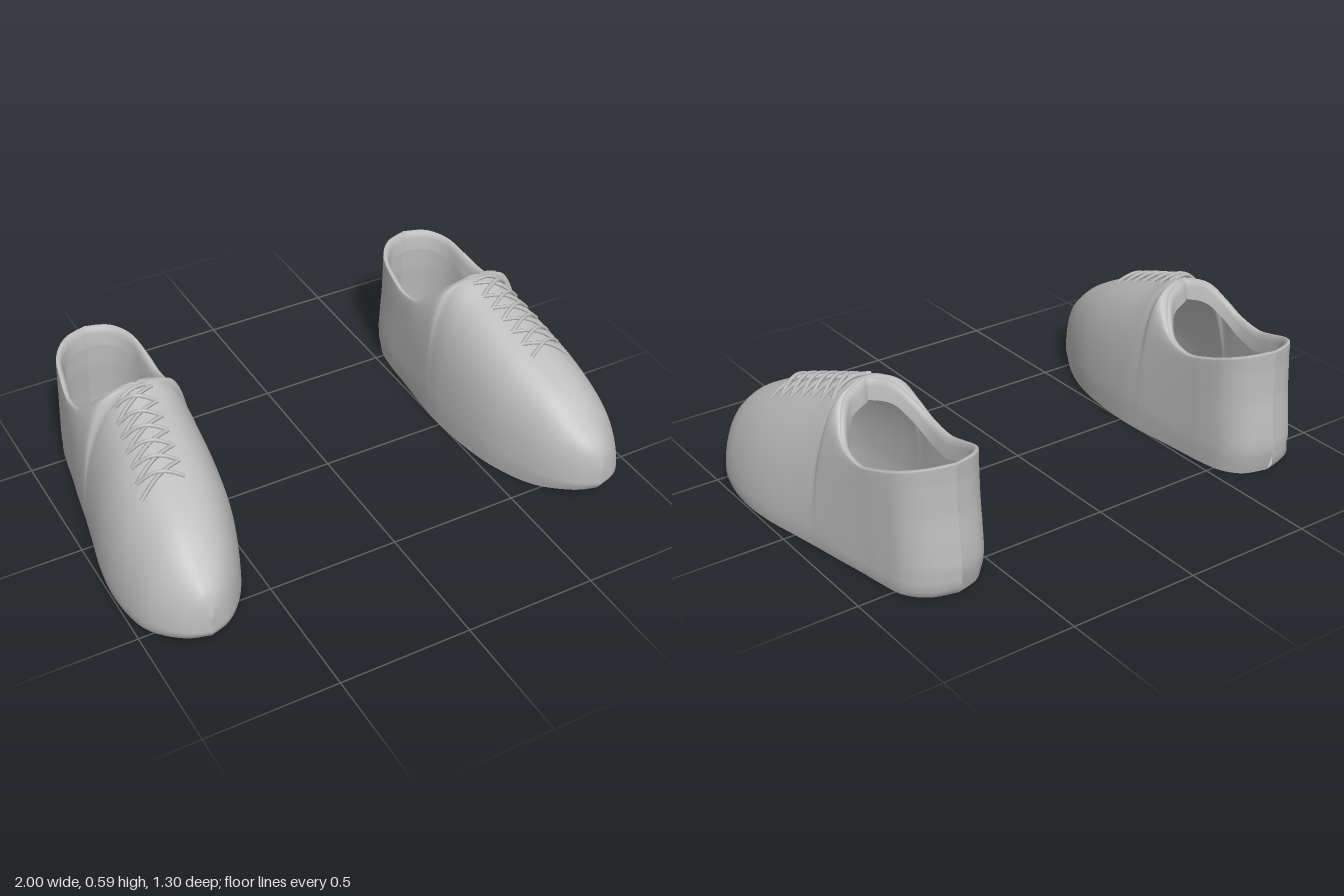
import * as THREE from 'three';
import { mergeVertices } from 'three/addons/utils/BufferGeometryUtils.js';

// Stations heel to toe: z, inner sole x, outer sole x, inner rim x, outer rim x, rim or ridge height
const STATIONS = [
  [-0.65, 0.69, 0.69, 0.69, 0.69, 0.49],
  [-0.62, 0.595, 0.785, 0.6, 0.78, 0.485],
  [-0.55, 0.54, 0.85, 0.543, 0.842, 0.465],
  [-0.45, 0.52, 0.875, 0.525, 0.868, 0.435],
  [-0.35, 0.512, 0.892, 0.522, 0.882, 0.415],
  [-0.25, 0.504, 0.912, 0.53, 0.878, 0.437],
  [-0.18, 0.498, 0.925, 0.56, 0.85, 0.492],
  [-0.12, 0.493, 0.936, 0.615, 0.795, 0.555],
  [-0.09, 0.491, 0.942, 0.705, 0.705, 0.584],
  [0, 0.49, 0.96, 0.72, 0.72, 0.548],
  [0.15, 0.502, 0.99, 0.738, 0.738, 0.495],
  [0.3, 0.53, 1, 0.755, 0.755, 0.435],
  [0.45, 0.587, 0.98, 0.775, 0.775, 0.36],
  [0.55, 0.645, 0.935, 0.783, 0.783, 0.28],
  [0.62, 0.713, 0.87, 0.79, 0.79, 0.215],
  [0.65, 0.79, 0.79, 0.79, 0.79, 0.13],
];
const RIM_END = 8; // station where the opening closes in front
const LAST = STATIONS.length - 1;
const SUB = 6; // subdivisions per station
const HEEL = [[0, 0.95], [0.03, 1], [0.06, 0.988], [0.1, 1], [0.2, 0.985], [0.3, 0.967], [0.42, 0.96], [0.6, 0.972]];

function lerpTable(table, y) {
  for (let i = 1; i < table.length; i++) {
    const [y0, v0] = table[i - 1], [y1, v1] = table[i];
    if (y <= y1) return THREE.MathUtils.lerp(v0, v1, Math.max(0, (y - y0) / (y1 - y0)));
  }
  return table[table.length - 1][1];
}

// Smoothly interpolated station
function station(u) {
  const i = Math.min(Math.floor(u), LAST - 1), t = u - i;
  const row = (k) => STATIONS[THREE.MathUtils.clamp(k, 0, LAST)];
  const v = STATIONS[0].map((_, c) => {
    const a = row(i - 1)[c], b = row(i)[c], d = row(i + 1)[c], e = row(i + 2)[c];
    const m0 = (d - a) / 2, m1 = (e - b) / 2, t2 = t * t, t3 = t2 * t;
    return (2 * t3 - 3 * t2 + 1) * b + (t3 - 2 * t2 + t) * m0 + (3 * t2 - 2 * t3) * d + (t3 - t2) * m1;
  });
  const mid = (v[3] + v[4]) / 2;
  if (u >= RIM_END || v[3] > v[4]) v[3] = v[4] = mid;
  const toe = THREE.MathUtils.smoothstep(v[0], 0.35, 0.66);
  return { z: v[0], base: [v[1], v[2]], rim: [v[3], v[4]], top: v[5], floor: 0.006 + 0.034 * toe * toe };
}

const POWER = [2.8, 2]; // fullness of the inner and outer walls

// Point on the upper: s = 0 at the sole edge, 1 at the rim or ridge
function wallPoint(st, side, s) {
  const a = s * Math.PI / 2, p = 2 / POWER[side];
  const y = st.floor + (st.top - st.floor) * Math.pow(Math.sin(a), p);
  let x = st.rim[side] + (st.base[side] - st.rim[side]) * Math.pow(Math.max(0, Math.cos(a)), p);
  const tuck = 0.025 * Math.max(0, 1 - (y - st.floor) / 0.025); // rounded sole edge
  x += (0.73 - x) * tuck;
  const z = st.z < 0 ? st.z * lerpTable(HEEL, y) : st.z * (1 - tuck);
  return new THREE.Vector3(x, y, z);
}

// Smooth surface through rows of points
function loft(rows, flip = false) {
  const n = rows[0].length, index = [];
  for (let i = 0; i < rows.length - 1; i++) {
    for (let j = 0; j < n - 1; j++) {
      const a = i * n + j, b = a + n;
      if (flip) index.push(a, a + 1, b, a + 1, b + 1, b);
      else index.push(a, b, a + 1, a + 1, b, b + 1);
    }
  }
  return { points: rows.flat(), index };
}

function toGeometry(...parts) {
  const points = [], index = [];
  for (const part of parts) {
    const offset = points.length;
    points.push(...part.points);
    index.push(...part.index.map((k) => k + offset));
  }
  let g = new THREE.BufferGeometry().setFromPoints(points);
  g.setIndex(index);
  g = mergeVertices(g, 1e-4);
  g.computeVertexNormals();
  return g;
}

// Height of the upper above a spot in front of the opening
function surfaceHeight(x, z) {
  let lo = RIM_END, hi = LAST;
  for (let k = 0; k < 24; k++) {
    const m = (lo + hi) / 2;
    if (station(m).z < z) lo = m; else hi = m;
  }
  const st = station(lo), side = x < st.rim[0] ? 0 : 1, n = POWER[side];
  const a = Math.min(1, Math.abs((x - st.rim[side]) / (st.base[side] - st.rim[side])));
  return st.floor + (st.top - st.floor) * Math.pow(1 - Math.pow(a, n), 1 / n);
}

function lace(x0, z0, x1, z1, lift) {
  const pts = [];
  for (let k = 0; k <= 8; k++) {
    const t = k / 8, x = x0 + (x1 - x0) * t, z = z0 + (z1 - z0) * t;
    pts.push(new THREE.Vector3(x, surfaceHeight(x, z) + 0.002 + lift * Math.sin(Math.PI * t), z));
  }
  return new THREE.TubeGeometry(new THREE.CatmullRomCurve3(pts), 16, 0.0075, 6);
}

function shoeParts() {
  const stations = [];
  for (let k = 0; k <= LAST * SUB; k++) stations.push(station(k / SUB));
  const STEPS = 24;
  const walls = [0, 1].map((side) => loft(stations.map((st) =>
    Array.from({ length: STEPS + 1 }, (_, j) => wallPoint(st, side, j / STEPS))), side === 1));

  // Sole spans between the two lower edges
  const sole = loft(stations.map((st) => {
    const a = wallPoint(st, 0, 0), b = wallPoint(st, 1, 0);
    return Array.from({ length: 9 }, (_, j) => a.clone().lerp(b, j / 8));
  }), true);

  // Collar folds over the rim and a short way down inside
  const open = stations.slice(0, RIM_END * SUB + 1);
  const rim = [...open.slice().reverse().map((st) => wallPoint(st, 0, 1)),
    ...open.slice(1).map((st) => wallPoint(st, 1, 1))];
  const centre = new THREE.Vector3(0.705, 0, -0.36);
  const fold = [[0, 0], [0.008, 0.004], [0.018, -0.004], [0.025, -0.025], [0.03, -0.075]];
  const lining = loft(rim.map((p) => {
    const inward = centre.clone().sub(p).setY(0).normalize();
    return fold.map(([d, h]) => p.clone().addScaledVector(inward, d).add(new THREE.Vector3(0, h, 0)));
  }));

  const parts = [['upper', toGeometry(...walls)], ['sole', toGeometry(sole)], ['collarLining', toGeometry(lining)]];

  // Criss-cross laces
  const edge = (k) => ({ z: -0.065 + 0.058 * k, lo: 0.66 + 0.007 * k, hi: 0.81 + 0.009 * k });
  parts.push(['topLace', lace(0.68, -0.075, 0.81, -0.06, 0.008)]);
  for (let k = 0; k < 6; k++) {
    const a = edge(k), b = edge(k + 1);
    parts.push(['lace', lace(a.lo, a.z, b.hi, b.z, 0.007)], ['lace', lace(a.hi, a.z, b.lo, b.z, 0.018)]);
  }
  return parts;
}

// Mirrored copy with corner order kept facing outward
function mirrored(geometry) {
  const g = geometry.clone(), ix = g.index.array;
  const pos = g.attributes.position, nor = g.attributes.normal;
  for (let i = 0; i < pos.count; i++) {
    pos.setX(i, -pos.getX(i));
    nor.setX(i, -nor.getX(i));
  }
  for (let i = 0; i < ix.length; i += 3) [ix[i + 1], ix[i + 2]] = [ix[i + 2], ix[i + 1]];
  return g;
}

export function createModel() {
  const grey = new THREE.MeshStandardMaterial({ color: 0xbcbcbc, side: THREE.DoubleSide });
  grey.name = 'light grey';
  const model = new THREE.Group();
  model.name = 'pairOfShoes';
  const left = new THREE.Group(), right = new THREE.Group();
  left.name = 'leftShoe';
  right.name = 'rightShoe';
  for (const [name, geometry] of shoeParts()) {
    for (const [group, g] of [[left, geometry], [right, mirrored(geometry)]]) {
      const mesh = new THREE.Mesh(g, grey);
      mesh.name = name;
      group.add(mesh);
    }
  }
  model.add(left, right);
  return model;
}
